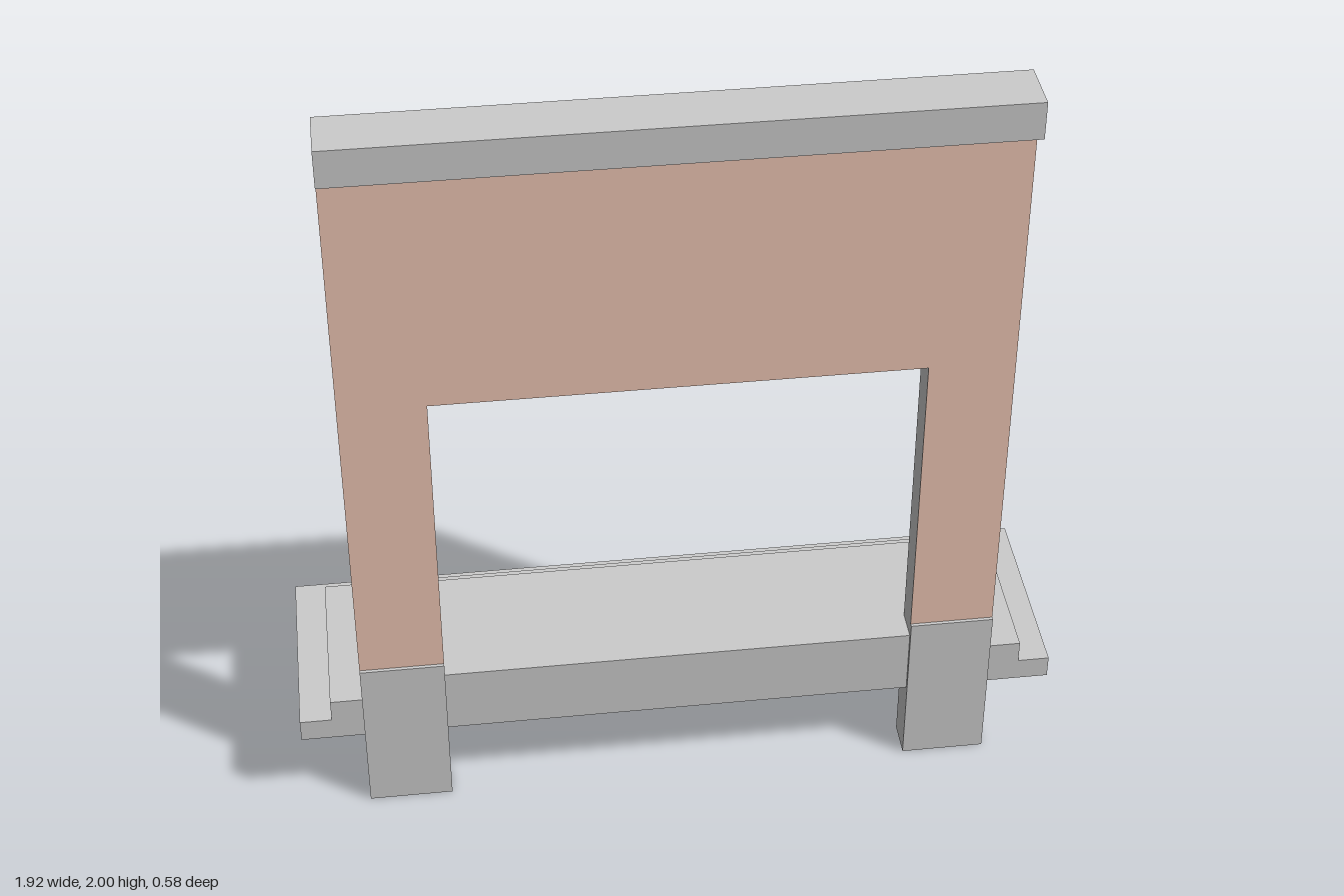
import * as THREE from 'three';

const grey = new THREE.MeshStandardMaterial({ color: 0xcccccc });
const greyOpen = new THREE.MeshStandardMaterial({ color: 0xcccccc, side: THREE.DoubleSide });
const brick = new THREE.MeshStandardMaterial({ color: 0xecc5b3 });

const HALF = 0.8;      // half width of the surround
const INNER = 0.59;    // half width of the opening
const BACK = 0.15;     // rear plane of the surround
const FRONT = 0.23;    // front plane of the surround

// Box given by its min and max corners
function box(name, [x0, y0, z0], [x1, y1, z1], material = grey) {
  const geometry = new THREE.BoxGeometry(x1 - x0, y1 - y0, z1 - z0);
  geometry.translate((x0 + x1) / 2, (y0 + y1) / 2, (z0 + z1) / 2);
  const mesh = new THREE.Mesh(geometry, material);
  mesh.name = name;
  return mesh;
}

// Hollow step: a box without its bottom face
function openBox(name, min, max) {
  const mesh = box(name, min, max, greyOpen);
  const index = Array.from(mesh.geometry.index.array);
  index.splice(18, 6);
  mesh.geometry.setIndex(index);
  mesh.geometry.clearGroups();
  return mesh;
}

// Upside-down U outline of the wall around the opening
function portalShape(bottom, lintel, top) {
  return new THREE.Shape([
    [-HALF, bottom], [-INNER, bottom], [-INNER, lintel], [INNER, lintel],
    [INNER, bottom], [HALF, bottom], [HALF, top], [-HALF, top],
  ].map(([x, y]) => new THREE.Vector2(x, y)));
}

export function createModel() {
  const model = new THREE.Group();
  model.name = 'portal';

  // Wall with its opening
  const wallGeometry = new THREE.ExtrudeGeometry(portalShape(0.44, 1.25, 1.905), {
    depth: FRONT - BACK, bevelEnabled: false,
  });
  wallGeometry.translate(0, 0, BACK);
  const wall = new THREE.Mesh(wallGeometry, grey);
  wall.name = 'wall';
  model.add(wall);

  // Coloured facing on the front of the wall
  const facing = new THREE.Mesh(new THREE.ShapeGeometry(portalShape(0.44, 1.25, 1.905)), brick);
  facing.name = 'wallFacing';
  facing.position.z = FRONT + 0.001;
  model.add(facing);

  // Overhanging cornice
  model.add(box('cornice', [-HALF, 1.905, BACK], [HALF, 2, 0.29]));

  // Plinth blocks under the two piers
  model.add(box('leftPlinth', [INNER, 0, BACK], [HALF, 0.44, 0.24]));
  model.add(box('rightPlinth', [-HALF, 0, BACK], [-INNER, 0.44, 0.24]));

  // Three nested hollow steps, widest at the bottom
  const steps = new THREE.Group();
  steps.name = 'steps';
  for (let i = 0; i < 3; i++) {
    const x = 0.96 - 0.08 * i;
    steps.add(openBox(`step${i + 1}`, [-x, 0.22, -0.29 + 0.08 * i], [x, 0.28 + 0.06 * i, FRONT]));
  }
  model.add(steps);

  return model;
}
